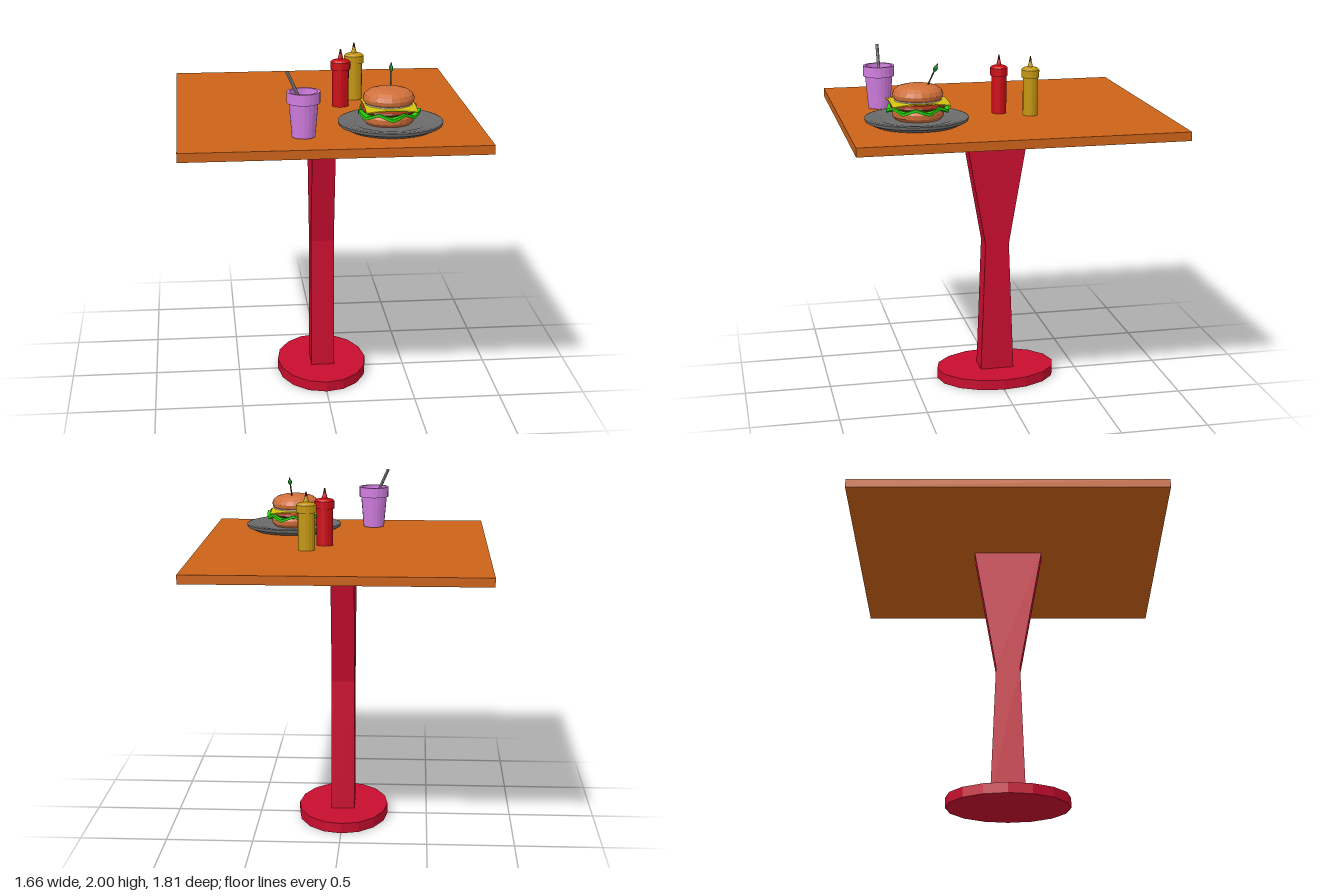
import * as THREE from 'three';

const material = (color, side = THREE.FrontSide) =>
  new THREE.MeshStandardMaterial({ color, side, flatShading: true });

const colors = {
  wood: 0xcc6218, red: 0xc80d2e, ketchup: 0xcc0c16, mustard: 0xc4960f, cup: 0xd27de0,
  drink: 0x111111, straw: 0x999999, plate: 0x6a6a6a, bun: 0xd0703a, lettuce: 0x22cc08,
  cheese: 0xd2c010, patty: 0x7a3515, tomato: 0xc8401c, onion: 0xe8e0d0, pick: 0x6b4420,
  olive: 0x18a030, tip: 0x5a2010,
};

function add(parent, name, geometry, color, x = 0, y = 0, z = 0, side) {
  const mesh = new THREE.Mesh(geometry, material(color, side));
  mesh.name = name;
  mesh.position.set(x, y, z);
  parent.add(mesh);
  return mesh;
}

const lathe = (points, sides) =>
  new THREE.LatheGeometry(points.map(([r, y]) => new THREE.Vector2(r, y)), sides);

// Thin round stick between two points
function stick(parent, name, from, to, radius, color) {
  const a = new THREE.Vector3(...from), b = new THREE.Vector3(...to);
  const dir = b.clone().sub(a);
  const mesh = add(parent, name, new THREE.CylinderGeometry(radius, radius, dir.length(), 8), color);
  mesh.position.copy(a).add(b).multiplyScalar(0.5);
  mesh.quaternion.setFromUnitVectors(new THREE.Vector3(0, 1, 0), dir.normalize());
}

function group(parent, name, x, y, z) {
  const g = new THREE.Group();
  g.name = name;
  g.position.set(x, y, z);
  parent.add(g);
  return g;
}

function buildTable(model) {
  add(model, 'tabletop', new THREE.BoxGeometry(1.66, 0.05, 1.81), colors.wood, 0, 1.615, 0);

  // Waisted pedestal: side outline (z, y) extruded across x
  const outline = new THREE.Shape([
    [-0.1, 0.05], [0.1, 0.05], [0.07, 0.84], [0.2, 1.59], [-0.2, 1.59], [-0.07, 0.84],
  ].map(([z, y]) => new THREE.Vector2(z, y)));
  const pedestal = new THREE.ExtrudeGeometry(outline, { depth: 0.135, bevelEnabled: false });
  pedestal.translate(0, 0, -0.0675).rotateY(Math.PI / 2);
  add(model, 'pedestal', pedestal, colors.red);

  // Oval foot
  const foot = new THREE.CylinderGeometry(1, 1, 0.06, 16).scale(0.265, 1, 0.355);
  add(model, 'foot', foot, colors.red, 0, 0.03, 0);
}

function buildBottle(model, name, color, x, z) {
  const bottle = group(model, name, x, 1.64, z);
  bottle.scale.x = 1.15;
  add(bottle, 'bottleBody', lathe([[0, 0], [0.042, 0], [0.042, 0.22], [0, 0.22]], 16), color);
  add(bottle, 'bottleCap', lathe(
    [[0, 0.215], [0.05, 0.215], [0.05, 0.258], [0.04, 0.268], [0.014, 0.275], [0.005, 0.315], [0, 0.315]], 16), color);
  add(bottle, 'nozzleTip', new THREE.CylinderGeometry(0.003, 0.008, 0.03, 8), colors.tip, 0, 0.317, 0);
}

function buildCup(model) {
  const cup = group(model, 'drinkCup', -0.155, 1.645, 0.65);
  add(cup, 'cupBody', lathe([
    [0, 0], [0.063, 0], [0.079, 0.185], [0.09, 0.185], [0.09, 0.245],
    [0.075, 0.245], [0.072, 0.17], [0, 0.17],
  ], 20), colors.cup);
  add(cup, 'drink', new THREE.CylinderGeometry(0.0735, 0.072, 0.03, 20), colors.drink, 0, 0.19, 0);
  stick(cup, 'straw', [0.012, 0.13, -0.005], [-0.087, 0.352, -0.005], 0.009, colors.straw);
}

function buildBurger(model) {
  add(model, 'plate', lathe([
    [0, 0], [0.24, 0], [0.284, 0.022], [0.287, 0.038], [0.275, 0.042],
    [0.2, 0.03], [0.19, 0.026], [0, 0.026],
  ], 32), colors.plate, 0.33, 1.645, 0.51);

  const burger = group(model, 'burger', 0.32, 0, 0.5);
  add(burger, 'bottomBun', lathe(
    [[0, 1.67], [0.125, 1.672], [0.142, 1.69], [0.145, 1.715], [0.138, 1.73], [0, 1.73]], 20), colors.bun);

  // Wavy lettuce leaf: disc rings lifted and stretched by angle
  const leaf = new THREE.CylinderGeometry(0.17, 0.17, 0.016, 28, 1);
  const p = leaf.attributes.position;
  for (let i = 0; i < p.count; i++) {
    const x = p.getX(i), z = p.getZ(i);
    if (Math.hypot(x, z) < 0.01) continue;
    const a = Math.atan2(z, x);
    const k = 1 + 0.04 * Math.sin(5 * a + 0.6);
    p.setXYZ(i, x * k, p.getY(i) + 0.014 * Math.sin(7 * a), z * k);
  }
  add(burger, 'lettuce', leaf, colors.lettuce, 0, 1.733, 0, THREE.DoubleSide);

  add(burger, 'patty', lathe(
    [[0, 1.735], [0.145, 1.735], [0.155, 1.745], [0.15, 1.757], [0, 1.757]], 20), colors.patty);
  add(burger, 'tomato', new THREE.CylinderGeometry(0.153, 0.153, 0.014, 20), colors.tomato, 0, 1.762, 0);

  // Cheese slice with slightly drooping corners
  const slice = new THREE.BoxGeometry(0.28, 0.006, 0.32, 6, 1, 6);
  const s = slice.attributes.position;
  for (let i = 0; i < s.count; i++) {
    const over = Math.max(0, Math.hypot(s.getX(i), s.getZ(i)) - 0.15);
    s.setY(i, s.getY(i) - over * 0.2);
  }
  add(burger, 'cheese', slice, colors.cheese, 0, 1.774, 0);
  add(burger, 'onion', new THREE.CylinderGeometry(0.13, 0.13, 0.008, 20), colors.onion, 0, 1.779, 0);

  add(burger, 'topBun', lathe([
    [0, 1.782], [0.128, 1.782], [0.138, 1.792], [0.141, 1.81], [0.132, 1.832],
    [0.108, 1.85], [0.07, 1.86], [0, 1.863],
  ], 20), colors.bun);

  // Cocktail pick with an olive
  stick(burger, 'pick', [0.015, 1.84, -0.045], [0.026, 1.975, -0.108], 0.004, colors.pick);
  const olive = add(burger, 'olive',
    new THREE.SphereGeometry(0.012, 10, 8).scale(1, 1.6, 1), colors.olive, 0.024, 1.948, -0.096);
  olive.rotation.x = -0.45;
}

export function createModel() {
  const model = new THREE.Group();
  model.name = 'dinerTable';
  buildTable(model);
  buildBottle(model, 'ketchupBottle', colors.ketchup, 0.11, 0);
  buildBottle(model, 'mustardBottle', colors.mustard, 0.205, -0.16);
  buildCup(model);
  buildBurger(model);
  return model;
}
